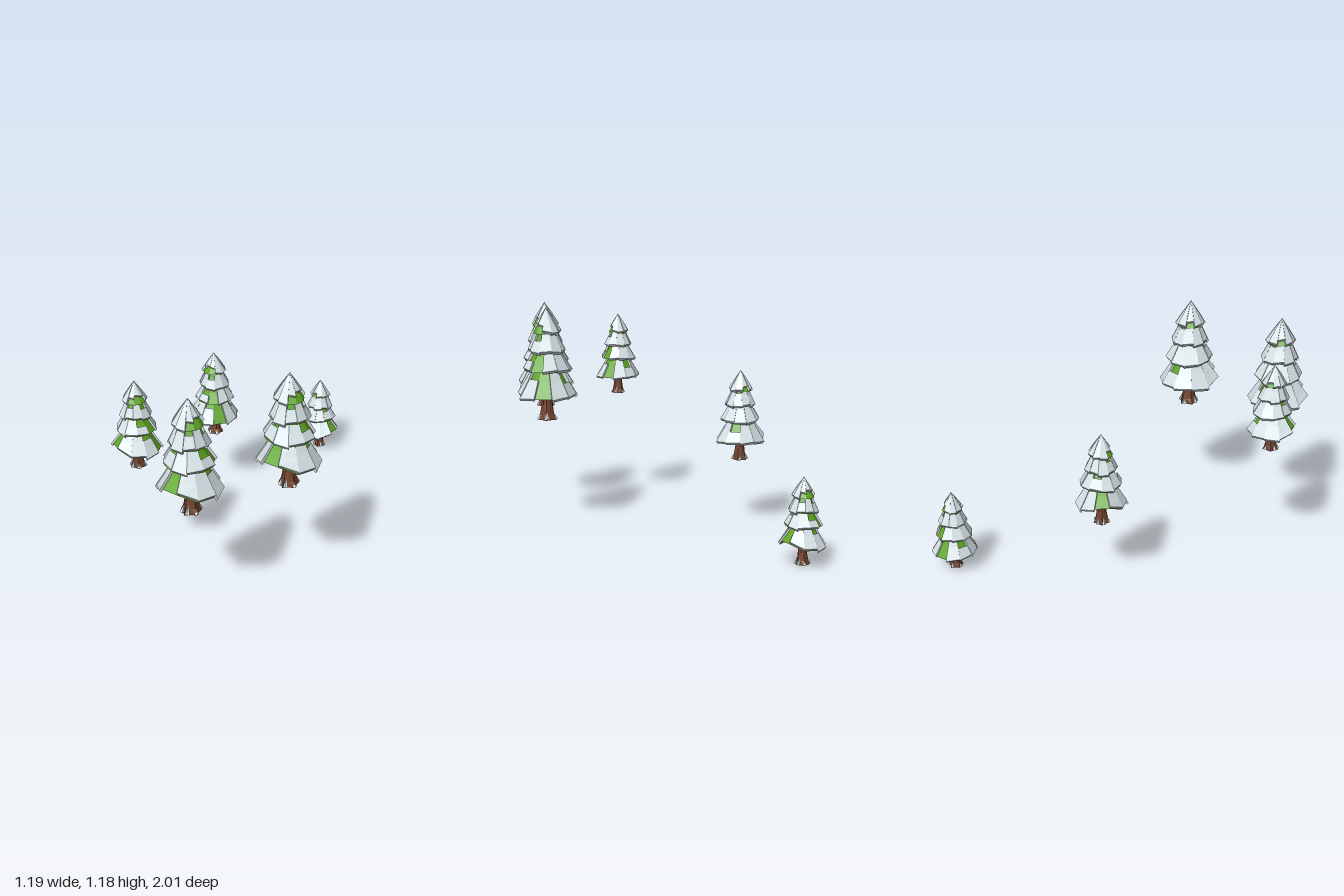
import * as THREE from 'three';
import { mergeGeometries } from 'three/addons/utils/BufferGeometryUtils.js';

const SIDES = 10;
const STEP = (Math.PI * 2) / SIDES;

// Branch tiers of a tree one unit tall. snow: where the snow starts on each
// sector, from 0 (tier top) to 1 (bare), counted from the front towards +x.
const TIERS = [
  { yb: 0.215, yt: 0.48, rb: 0.25, rt: 0.10, turn: 0, arch: 0.09,
    snow: [1, 0.3, 0, 0.45, 1, 0, 0.6, 0.1, 0, 0.25] },
  { yb: 0.445, yt: 0.66, rb: 0.20, rt: 0.08, turn: 0.3, arch: 0,
    snow: [0, 0.3, 0.65, 1, 0.2, 0, 0, 0.3, 0, 0.5] },
  { yb: 0.615, yt: 0.82, rb: 0.152, rt: 0.06, turn: 0.1, arch: 0,
    snow: [0, 0.5, 0.2, 0.6, 0, 0, 0.4, 0, 0, 0.35] },
  { yb: 0.775, yt: 0.98, rb: 0.118, rt: 0, turn: 0.2, arch: 0,
    snow: [0, 0, 0, 0, 0, 0, 0, 0, 0, 0], end: [1, 0.75, 0.65, 0.7, 1, 1, 1, 0.8, 1, 1] },
];

// position of each tree's foot, its height and its turn
const TREES = [
  [0.205, 0.57, 0.85, 0.59, 0],
  [0.435, 0.585, 0.395, 0.595, 0],
  [-0.22, 0.62, 0.75, 0.46, -0.45],
  [-0.46, 0.355, -0.12, 0.485, -Math.PI / 2],
  [-0.275, 0, -0.88, 0.435, Math.PI / 2],
];

const noise = (n) => {
  const s = Math.sin(n * 127.1 + 11.7) * 43758.5453;
  return s - Math.floor(s);
};

// moves every vertex of a geometry by a rule
function reshape(geometry, rule) {
  const p = geometry.attributes.position;
  const v = new THREE.Vector3();
  for (let i = 0; i < p.count; i++) {
    rule(v.fromBufferAttribute(p, i));
    p.setXYZ(i, v.x, v.y, v.z);
  }
  geometry.computeVertexNormals();
  return geometry;
}

const radiusAt = (tier, t) => tier.rt + (tier.rb - tier.rt) * Math.pow(Math.max(t, 0), 1.12);

// the rim arches upwards at the front of a tier
const archAt = (tier, angle, t) =>
  tier.arch * Math.pow(Math.max(0, Math.cos(angle)), 6) * Math.max(0, t);

// green skirt with a hollow underside
function foliageGeometry(tier) {
  const h = tier.yt - tier.yb;
  const profile = [new THREE.Vector2(0.03, tier.yb + h * 0.35)];
  for (const t of [1, 0.5, 0]) profile.push(new THREE.Vector2(radiusAt(tier, t), tier.yt - h * t));
  const g = new THREE.LatheGeometry(profile, SIDES, tier.turn - STEP / 2);
  return reshape(g, (v) => {
    v.y += archAt(tier, Math.atan2(v.x, v.z), (tier.yt - v.y) / h);
  });
}

// thick slab of snow bent over one sector of a tier
function snowSlab(tier, sector, start, end, seed) {
  const h = tier.yt - tier.yb;
  const thick = 0.02 + 0.012 * noise(seed);
  const skew = (noise(seed + 40) - 0.5) * 0.16;
  return reshape(new THREE.BoxGeometry(1, 1, 1, 1, 2, 1), (v) => {
    const t = THREE.MathUtils.lerp(start, end, 0.5 - v.y) + v.x * skew * (0.5 - v.y);
    const angle = tier.turn + (sector + v.x * 1.03) * STEP;
    const out = v.z > 0 ? thick : -0.004;
    let r = radiusAt(tier, t);
    r += out * 0.6 * Math.min(1, r / 0.05);
    const y = tier.yt - h * t + out * 0.8 + archAt(tier, angle, t);
    v.set(r * Math.sin(angle), y, r * Math.cos(angle));
  });
}

function snowGeometry(tier, index) {
  const slabs = [];
  tier.snow.forEach((start, i) => {
    if (start >= 1) return;
    const seed = index * 17 + i;
    let end = tier.end ? tier.end[i] : 1;
    if (end === 1) end = 0.96 + 0.12 * noise(seed + 80);
    slabs.push(snowSlab(tier, i, start, end, seed));
  });
  return mergeGeometries(slabs);
}

// trunk that spreads into roots at the foot
function trunkGeometry() {
  const profile = [[0, 0], [0.078, 0], [0.062, 0.05], [0.05, 0.14], [0.044, 0.34]]
    .map(([x, y]) => new THREE.Vector2(x, y));
  return reshape(new THREE.LatheGeometry(profile, SIDES), (v) => {
    const angle = Math.atan2(v.x, v.z);
    const k = 1 + 0.16 * Math.cos(angle * 5) * Math.max(0, 1 - v.y / 0.1);
    v.x *= k;
    v.z *= k;
  });
}

// small drifts lying on the roots
function rootSnowGeometry() {
  return mergeGeometries([0.3, 1.3, 2.6, 4.1, 5.7].map((angle, i) => {
    const g = new THREE.ConeGeometry(0.022, i % 2 ? 0.05 : 0.075, 5);
    g.rotateX(-0.25);
    g.translate(0, i % 2 ? 0.028 : 0.04, 0.066);
    return g.rotateY(angle);
  }));
}

export function createModel() {
  const mat = (name, color) => {
    const m = new THREE.MeshStandardMaterial({ color, flatShading: true });
    m.name = name;
    return m;
  };
  const snow = mat('snow', 0xd8e4e8);
  const green = mat('needles', 0x5ea622);
  const bark = mat('bark', 0x76452f);

  // shared parts of every tree
  const parts = [
    ['trunk', trunkGeometry(), bark],
    ['rootSnow', rootSnowGeometry(), snow],
  ];
  TIERS.forEach((tier, i) => {
    parts.push([`branchTier${i + 1}`, foliageGeometry(tier), green]);
    parts.push([`tierSnow${i + 1}`, snowGeometry(tier, i), snow]);
  });

  const model = new THREE.Group();
  model.name = 'snowyTrees';
  TREES.forEach(([x, y, z, height, turn], i) => {
    const tree = new THREE.Group();
    tree.name = `tree${i + 1}`;
    for (const [name, geometry, material] of parts) {
      const mesh = new THREE.Mesh(geometry, material);
      mesh.name = name;
      tree.add(mesh);
    }
    tree.position.set(x, y, z);
    tree.scale.setScalar(height);
    tree.rotation.y = turn;
    model.add(tree);
  });
  return model;
}
